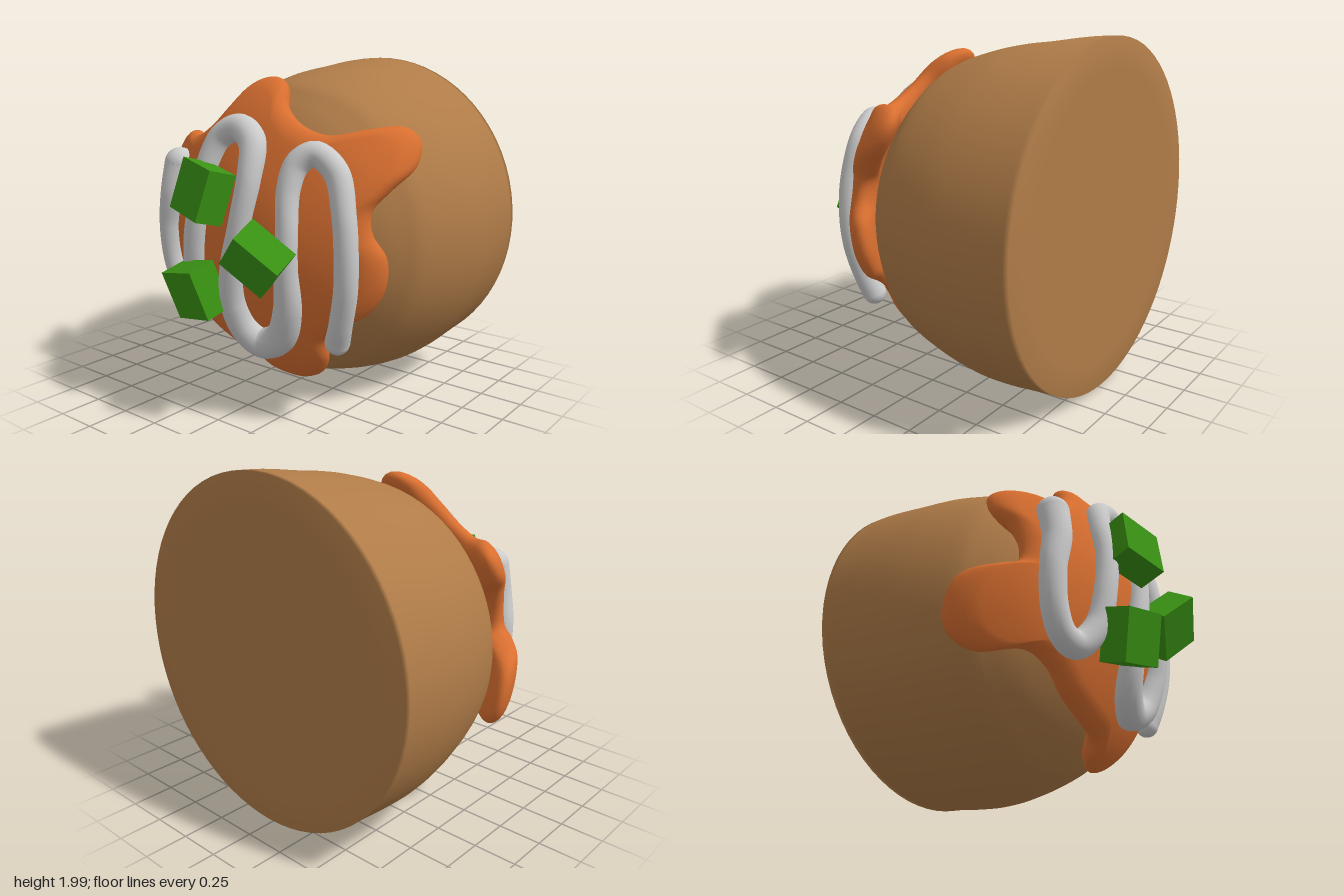
import * as THREE from 'three';

const CY = 1; // height of the dome axis
const mat = (color, opts = {}) => new THREE.MeshStandardMaterial({ color, ...opts });

// Smooth lookup of z by radius, from a few profile points
const profile = (pts) => {
  const samples = new THREE.SplineCurve(pts.map(([r, z]) => new THREE.Vector2(r, z))).getPoints(160);
  return (r) => {
    let i = 1;
    while (i < samples.length - 1 && samples[i].x < r) i++;
    const a = samples[i - 1], b = samples[i];
    return a.y + (b.y - a.y) * (r - a.x) / (b.x - a.x);
  };
};

// Middle of the sauce layer over the dome
const sauceZ = profile([[0, 0.53], [0.2, 0.52], [0.4, 0.47], [0.65, 0.36], [0.8, 0.24], [0.88, 0.15], [0.98, 0]]);

function addMesh(group, name, geometry, material) {
  const mesh = new THREE.Mesh(geometry, material);
  mesh.name = name;
  group.add(mesh);
  return mesh;
}

// Round body: domed front, flat back
function bodyGeometry() {
  const side = new THREE.SplineCurve([
    [0.985, -0.85], [0.982, -0.55], [0.955, -0.28], [0.88, 0], [0.8, 0.12],
    [0.68, 0.24], [0.5, 0.36], [0.25, 0.45], [0, 0.48],
  ].map(([r, z]) => new THREE.Vector2(r, z))).getPoints(48);
  side[side.length - 1].x = 0;
  const geo = new THREE.LatheGeometry(
    [new THREE.Vector2(0, -0.85), new THREE.Vector2(0.82, -0.85), ...side], 72);
  geo.rotateX(Math.PI / 2);
  // slight sag just ahead of the back rim
  const p = geo.attributes.position;
  for (let i = 0; i < p.count; i++) {
    const z = p.getZ(i);
    p.setY(i, p.getY(i) + CY + 0.015 - 0.035 * THREE.MathUtils.smoothstep(z, -0.85, -0.4));
  }
  return geo;
}

// Puffy sauce splat wrapped over the dome
function sauceGeometry() {
  const outline = new THREE.CatmullRomCurve3([
    [-0.25, 1.73], [-0.17, 1.84], [-0.05, 1.88], [0.07, 1.84], [0.15, 1.73], [0.3, 1.63], [0.45, 1.59],
    [0.6, 1.62], [0.73, 1.63], [0.81, 1.56], [0.83, 1.43], [0.77, 1.32], [0.71, 1.22], [0.72, 1.1],
    [0.78, 0.97], [0.77, 0.8], [0.68, 0.65], [0.57, 0.58], [0.45, 0.47], [0.41, 0.33], [0.33, 0.22],
    [0.2, 0.16], [0.07, 0.19], [0, 0.27], [-0.15, 0.32], [-0.35, 0.41], [-0.5, 0.53], [-0.63, 0.59],
    [-0.8, 0.56], [-0.91, 0.65], [-0.95, 0.82], [-0.92, 0.95], [-0.83, 1.0], [-0.73, 1.04], [-0.71, 1.13],
    [-0.73, 1.27], [-0.78, 1.38], [-0.75, 1.5], [-0.65, 1.55], [-0.5, 1.54], [-0.35, 1.62],
  ].map(([x, y]) => new THREE.Vector3(x, y - CY, 0)), true).getSpacedPoints(240).slice(0, 240);

  // rings run from the front centre, round the edge, to the back centre
  const W = 0.11, H = 0.075, rings = [];
  for (let i = 0; i < 12; i++) rings.push([(i + 0.02) / 12, 0]);
  for (let i = 0; i <= 14; i++) rings.push([1, (i / 14) * Math.PI]);
  for (let i = 11; i >= 0; i--) rings.push([(i + 0.02) / 12, Math.PI]);

  const pos = [], index = [], n = outline.length;
  for (const [s, a] of rings) {
    for (const o of outline) {
      const R = o.length();
      const r = s * (R - W) + (s === 1 ? W * Math.sin(a) : 0);
      const slope = (sauceZ(r + 0.01) - sauceZ(Math.max(r - 0.01, 0))) / (r > 0.01 ? 0.02 : 0.01 + r);
      const k = H * Math.cos(a) / Math.hypot(1, slope);
      const rr = r - slope * k;
      pos.push(o.x / R * rr, CY + o.y / R * rr, sauceZ(r) + k);
    }
  }
  for (let j = 0; j < rings.length - 1; j++) {
    for (let i = 0; i < n; i++) {
      const a = j * n + i, b = j * n + (i + 1) % n, c = a + n, d = b + n;
      index.push(a, b, c, b, d, c);
    }
  }
  // outline runs clockwise seen from the front
  for (let i = 0; i < index.length; i += 3) [index[i + 1], index[i + 2]] = [index[i + 2], index[i + 1]];
  const geo = new THREE.BufferGeometry();
  geo.setAttribute('position', new THREE.Float32BufferAttribute(pos, 3));
  geo.setIndex(index);
  // wind triangles outward
  geo.index.array.reverse();
  if (frontFacing(geo) < 0) geo.index.array.reverse();
  geo.computeVertexNormals();
  return geo;
}

// Signed volume: positive when faces point outward
function frontFacing(geo) {
  const p = geo.attributes.position, ix = geo.index.array;
  const [a, b, c] = [0, 0, 0].map(() => new THREE.Vector3());
  let v = 0;
  for (let i = 0; i < ix.length; i += 3) {
    a.fromBufferAttribute(p, ix[i]); b.fromBufferAttribute(p, ix[i + 1]); c.fromBufferAttribute(p, ix[i + 2]);
    v += a.dot(b.cross(c));
  }
  return v;
}

// Wavy squeezed ribbon: x, y, radius
function addDrizzle(group) {
  const pts = [
    [-0.58, 1.38, 0.095], [-0.6, 1.2, 0.085], [-0.635, 1.0, 0.075], [-0.61, 0.78, 0.075], [-0.54, 0.66, 0.075],
    [-0.45, 0.63, 0.08], [-0.35, 0.75, 0.075], [-0.3, 1.0, 0.07], [-0.265, 1.2, 0.067], [-0.24, 1.4, 0.07],
    [-0.17, 1.57, 0.075], [-0.05, 1.62, 0.08], [0.07, 1.55, 0.08], [0.1, 1.37, 0.07], [0.06, 1.1, 0.065],
    [0.0, 0.85, 0.07], [-0.02, 0.65, 0.08], [0.02, 0.5, 0.09], [0.12, 0.425, 0.095], [0.25, 0.48, 0.09],
    [0.335, 0.66, 0.08], [0.355, 0.9, 0.065], [0.36, 1.1, 0.06], [0.345, 1.33, 0.065], [0.37, 1.46, 0.07],
    [0.45, 1.51, 0.07], [0.57, 1.42, 0.07], [0.64, 1.2, 0.065], [0.66, 1.0, 0.065], [0.65, 0.8, 0.065],
    [0.6, 0.6, 0.065], [0.56, 0.49, 0.07],
  ];
  const path = new THREE.CatmullRomCurve3(pts.map(([x, y]) => {
    const r = Math.hypot(x, y - CY);
    return new THREE.Vector3(x, y, sauceZ(r) + 0.085 + 0.03 * r);
  }));
  const SEG = 260, SIDES = 18;
  const geo = new THREE.TubeGeometry(path, SEG, 1, SIDES);
  const p = geo.attributes.position, v = new THREE.Vector3();
  for (let i = 0; i <= SEG; i++) {
    const c = path.getPointAt(i / SEG);
    const t = path.getUtoTmapping(i / SEG) * (pts.length - 1);
    const k = Math.min(Math.floor(t), pts.length - 2);
    const radius = THREE.MathUtils.lerp(pts[k][2], pts[k + 1][2], t - k);
    for (let j = 0; j <= SIDES; j++) {
      const m = i * (SIDES + 1) + j;
      v.fromBufferAttribute(p, m).sub(c).multiplyScalar(radius).add(c);
      p.setXYZ(m, v.x, v.y, v.z);
    }
  }
  const white = mat(0xcccccc);
  addMesh(group, 'drizzle', geo, white);
  [[0, pts[0][2]], [1, pts[pts.length - 1][2]]].forEach(([t, r]) =>
    addMesh(group, 'drizzleEnd', new THREE.SphereGeometry(r, 20, 14), white).position.copy(path.getPoint(t)));
}

export function createModel() {
  const group = new THREE.Group();
  group.name = 'toppedDumpling';
  addMesh(group, 'body', bodyGeometry(), mat(0xb07c48));
  addMesh(group, 'sauce', sauceGeometry(), mat(0xd96f30));
  addDrizzle(group);

  // Diced green garnish
  const green = mat(0x3a9414, { flatShading: true });
  [
    [-0.14, 1.285, 0.69, -0.25, -0.22, -0.22],
    [-0.21, 0.715, 0.69, 0.28, -0.12, 0.23],
    [0.26, 0.97, 0.7, 0.5, 0, 0.8],
  ].forEach(([x, y, z, rx, ry, rz]) => {
    const cube = addMesh(group, 'garnishCube', new THREE.BoxGeometry(0.29, 0.29, 0.17), green);
    cube.position.set(x, y, z);
    cube.rotation.set(rx, ry, rz);
  });
  return group;
}
